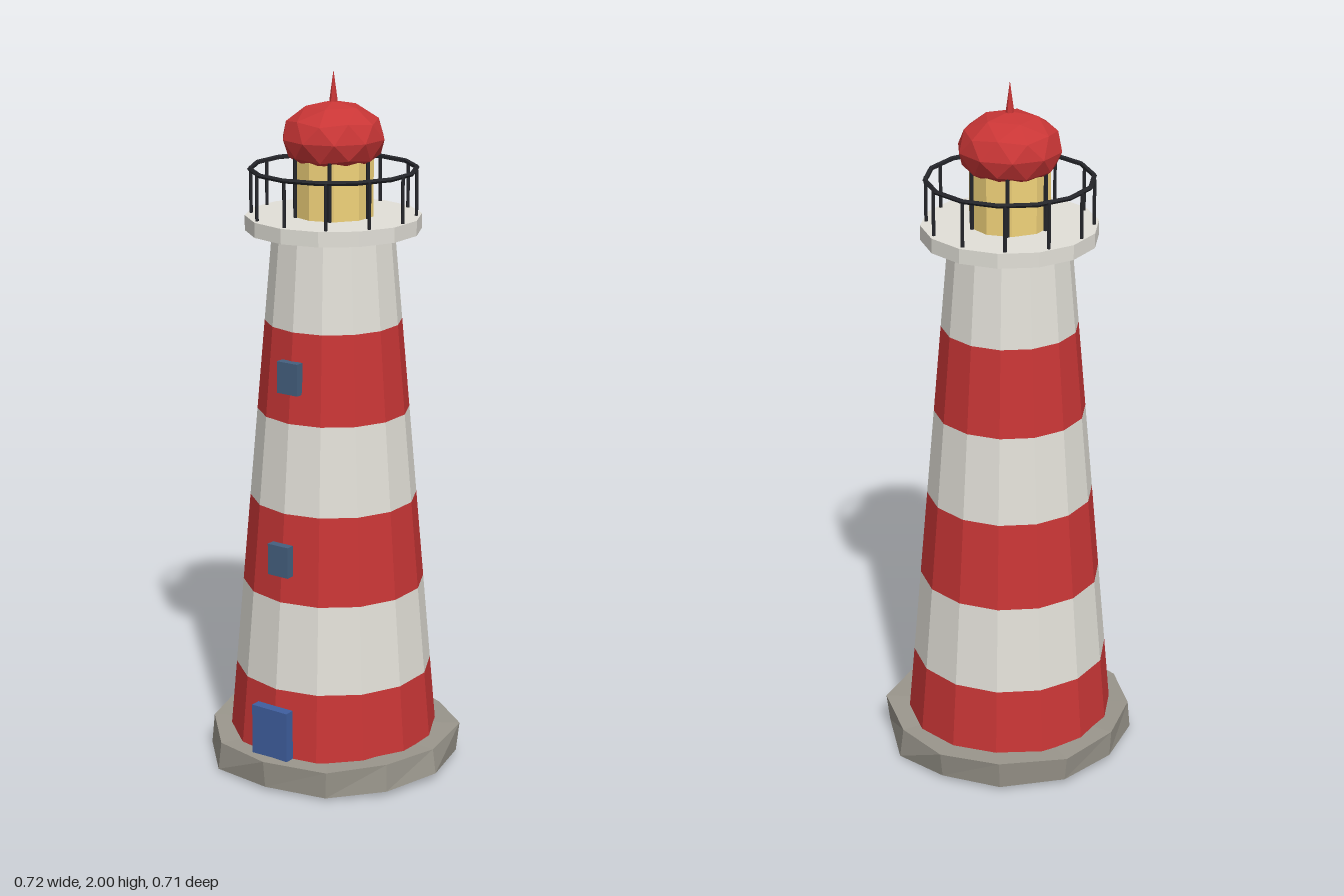
import * as THREE from 'three';

const SIDES = 14;
const material = (color) => new THREE.MeshStandardMaterial({ color, flatShading: true });

export function createModel() {
  const model = new THREE.Group();
  model.name = 'lighthouse';

  const red = material(0xc93636);
  const white = material(0xe2e0d8);
  const stone = material(0x9a968c);
  const gold = material(0xf0d27a);
  const iron = material(0x25262b);
  const doorBlue = material(0x3f5f9f);
  const windowBlue = material(0x45607f);

  // Everything above the rock shares one axis
  const tower = new THREE.Group();
  tower.name = 'tower';
  tower.position.x = -0.006;
  model.add(tower);

  function add(name, geometry, mat, x = 0, y = 0, z = 0, parent = tower) {
    const mesh = new THREE.Mesh(geometry, mat);
    mesh.name = name;
    mesh.position.set(x, y, z);
    parent.add(mesh);
    return mesh;
  }

  // Uneven rock slab: top and bottom outlines of twelve corners
  const top = [
    [0, 0.354], [0.183, 0.305], [0.302, 0.178], [0.345, 0.005], [0.313, -0.187], [0.168, -0.303],
    [-0.003, -0.36], [-0.177, -0.317], [-0.32, -0.18], [-0.36, 0], [-0.31, 0.178], [-0.183, 0.31],
  ];
  const bottom = [
    [0, 0.345], [0.178, 0.3], [0.305, 0.182], [0.358, 0.01], [0.306, -0.18], [0.173, -0.315],
    [0, -0.345], [-0.172, -0.305], [-0.31, -0.175], [-0.355, 0], [-0.314, 0.186], [-0.188, 0.318],
  ];
  const topY = [0.09, 0.085, 0.095, 0.09, 0.095, 0.085, 0.09, 0.095, 0.09, 0.1, 0.095, 0.085];
  const bottomY = [0.01, 0.005, 0.015, 0.02, 0.01, 0, 0.01, 0.01, 0.015, 0.02, 0.01, 0.005];
  const corners = [];
  const n = top.length;
  for (let i = 0; i < n; i++) {
    const j = (i + 1) % n;
    const a = [bottom[i][0], bottomY[i], bottom[i][1]];
    const b = [bottom[j][0], bottomY[j], bottom[j][1]];
    const c = [top[j][0], topY[j], top[j][1]];
    const d = [top[i][0], topY[i], top[i][1]];
    corners.push(a, b, c, a, c, d, d, c, [0, 0.09, 0], b, a, [0, 0.01, 0]);
  }
  const rock = new THREE.BufferGeometry();
  rock.setAttribute('position', new THREE.Float32BufferAttribute(corners.flat(), 3));
  rock.computeVertexNormals();
  add('rockBase', rock, stone, 0, 0, 0, model);

  // Tapering tower in six alternating bands
  const bandHeight = 0.255;
  const radiusAt = (y) => 0.304 - 0.0875 * (y - 0.03);
  for (let i = 0; i < 6; i++) {
    const y = 0.03 + i * bandHeight;
    const band = new THREE.CylinderGeometry(radiusAt(y + bandHeight), radiusAt(y), bandHeight, SIDES, 1, true);
    add(i % 2 ? 'whiteBand' : 'redBand', band, i % 2 ? white : red, 0, y + bandHeight / 2);
  }

  // Door and windows on the front
  add('door', new THREE.BoxGeometry(0.12, 0.16, 0.03), doorBlue, 0, 0.155, 0.3);
  for (const [y, z] of [[0.665, 0.257], [1.18, 0.208]]) {
    add('window', new THREE.BoxGeometry(0.068, 0.09, 0.025), windowBlue, 0, y, z);
  }

  // Gallery floor
  add('gallery', new THREE.CylinderGeometry(0.245, 0.245, 0.042, SIDES), white, 0, 1.581);

  // Railing: posts and a top ring
  const posts = (name, count, radius, thickness, y0, y1, start) => {
    const geometry = new THREE.CylinderGeometry(thickness, thickness, y1 - y0, 5);
    for (let i = 0; i < count; i++) {
      const a = start + (i / count) * Math.PI * 2;
      add(name, geometry, iron, radius * Math.sin(a), (y0 + y1) / 2, radius * Math.cos(a));
    }
  };
  posts('railingPost', 12, 0.229, 0.005, 1.6, 1.73, 0);
  const ring = new THREE.TorusGeometry(0.23, 0.007, 5, SIDES);
  ring.rotateX(Math.PI / 2).rotateY(Math.PI / 2);
  add('railingRing', ring, iron, 0, 1.73);

  // Lantern room with glazing bars
  add('lantern', new THREE.CylinderGeometry(0.115, 0.115, 0.18, 10), gold, 0, 1.69);
  posts('glazingBar', 6, 0.115, 0.006, 1.6, 1.775, Math.PI / 6);

  // Faceted dome, turned so a corner points up, then flattened
  const dome = new THREE.IcosahedronGeometry(0.145, 1);
  dome.rotateX(-Math.atan((1 + Math.sqrt(5)) / 2)).rotateY(Math.PI / 2).scale(1, 0.7, 1);
  add('dome', dome, red, 0, 1.815);

  // Spire
  add('spire', new THREE.ConeGeometry(0.015, 0.11, 6), red, 0, 1.945);

  return model;
}
